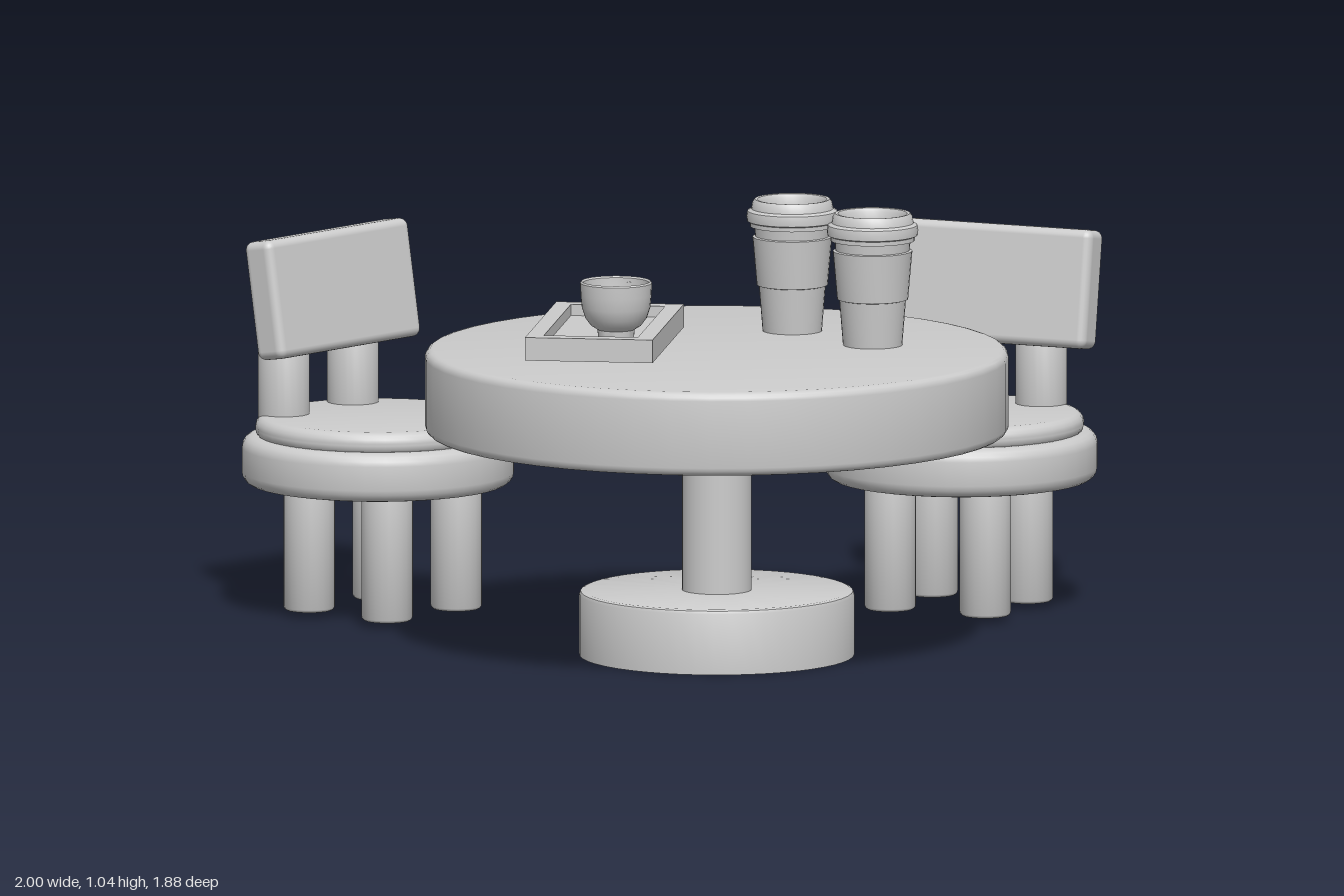
import * as THREE from 'three';
import { toCreasedNormals } from 'three/addons/utils/BufferGeometryUtils.js';
import { RoundedBoxGeometry } from 'three/addons/geometries/RoundedBoxGeometry.js';

const grey = new THREE.MeshStandardMaterial({ color: 0xcccccc });
const greyDouble = new THREE.MeshStandardMaterial({ color: 0xcccccc, side: THREE.DoubleSide });

function add(parent, name, geometry, material = grey) {
  const mesh = new THREE.Mesh(geometry, material);
  mesh.name = name;
  parent.add(mesh);
  return mesh;
}

// Turned part from [radius, height] pairs, listed bottom to top along the outside
function turned(pairs, segments = 40) {
  const points = pairs.map(([r, y]) => new THREE.Vector2(r, y));
  return toCreasedNormals(new THREE.LatheGeometry(points, segments), 0.65);
}

// Disc or post with rounded rims; the underside can be left open
function roundedDisc(r, y0, y1, bevel, { open = false, segments = 40 } = {}) {
  const pairs = open ? [] : [[0, y0]];
  for (let i = 0; i <= 4; i++) {
    const a = (i / 4) * Math.PI / 2;
    pairs.push([r - bevel + bevel * Math.sin(a), y0 + bevel - bevel * Math.cos(a)]);
  }
  for (let i = 0; i <= 4; i++) {
    const a = (i / 4) * Math.PI / 2;
    pairs.push([r - bevel + bevel * Math.cos(a), y1 - bevel + bevel * Math.sin(a)]);
  }
  pairs.push([0, y1]);
  return turned(pairs, segments);
}

function makeTable() {
  const table = new THREE.Group();
  table.name = 'table';
  add(table, 'tableTop', roundedDisc(0.69, 0.53, 0.73, 0.02, { segments: 48 }));
  add(table, 'tablePost', new THREE.CylinderGeometry(0.082, 0.082, 0.47, 32, 1, true), greyDouble)
    .position.y = 0.305;
  // Hollow foot, open underneath
  add(table, 'tableFoot', turned([[0.325, 0], [0.325, 0.145], [0.322, 0.152], [0.315, 0.155], [0, 0.155]], 48), greyDouble);
  return table;
}

function makeChair() {
  const chair = new THREE.Group();
  chair.name = 'chair';
  add(chair, 'seat', roundedDisc(0.322, 0.313, 0.43, 0.03));
  add(chair, 'seatCushion', roundedDisc(0.29, 0.42, 0.475, 0.025));
  const leg = roundedDisc(0.061, 0.013, 0.33, 0.012, { open: true, segments: 24 });
  const support = roundedDisc(0.061, 0.44, 0.695, 0.012, { segments: 24 });
  for (const x of [-0.123, 0.123]) {
    for (const z of [-0.108, 0.138]) add(chair, 'leg', leg, greyDouble).position.set(x, 0, z);
    add(chair, 'backSupport', support).position.set(x, 0, -0.188);
  }
  const back = add(chair, 'backrest', new RoundedBoxGeometry(0.505, 0.282, 0.085, 3, 0.02));
  back.position.set(0.02, 0.758, -0.16);
  back.rotation.x = -0.16;
  return chair;
}

function makeTray() {
  const tray = new THREE.Group();
  tray.name = 'tray';
  const rectangle = (Type, w, h) => new Type([
    new THREE.Vector2(-w, -h), new THREE.Vector2(w, -h), new THREE.Vector2(w, h), new THREE.Vector2(-w, h)]);
  const frame = rectangle(THREE.Shape, 0.152, 0.281);
  frame.holes.push(rectangle(THREE.Path, 0.112, 0.241));
  const rim = new THREE.ExtrudeGeometry(frame, { depth: 0.055, bevelEnabled: false });
  rim.rotateX(-Math.PI / 2);
  add(tray, 'trayRim', rim).position.y = 0.742;
  add(tray, 'trayFloor', new THREE.BoxGeometry(0.226, 0.028, 0.484)).position.y = 0.7565;
  return tray;
}

function makeMug() {
  const mug = new THREE.Group();
  mug.name = 'mug';
  // Outside wall up, over the lip and down the inside
  add(mug, 'mugBowl', turned([
    [0, 0.772], [0.042, 0.772], [0.044, 0.797], [0.06, 0.807], [0.073, 0.825], [0.081, 0.85],
    [0.084, 0.88], [0.085, 0.908], [0.082, 0.912], [0.078, 0.908], [0.077, 0.88],
    [0.073, 0.852], [0.063, 0.825], [0.045, 0.808], [0, 0.803],
  ], 32));
  const path = new THREE.CatmullRomCurve3([
    [0.892, -0.078], [0.898, -0.105], [0.885, -0.124], [0.86, -0.126], [0.836, -0.108], [0.826, -0.068],
  ].map(([y, z]) => new THREE.Vector3(0, y, z)));
  add(mug, 'mugHandle', new THREE.TubeGeometry(path, 24, 0.008, 8));
  return mug;
}

function makeTakeawayCup() {
  const cup = new THREE.Group();
  cup.name = 'takeawayCup';
  add(cup, 'cupBody', turned([[0, 0.728], [0.07, 0.728], [0.079, 0.84], [0.09, 0.985], [0, 0.985]], 32));
  // Slightly wider sleeve round the middle
  add(cup, 'cupSleeve', turned([[0.077, 0.838], [0.084, 0.84], [0.094, 0.955], [0.087, 0.957]], 32));
  add(cup, 'cupLid', turned([
    [0.088, 0.98], [0.1, 0.98], [0.1, 0.99], [0.107, 0.993], [0.108, 1.005], [0.106, 1.017], [0.097, 1.022],
    [0.094, 1.038], [0.089, 1.045], [0.082, 1.044], [0.077, 1.036], [0.075, 1.012], [0, 1.012],
  ], 32));
  // Raised drinking ledge on one side of the lid
  const ledge = new THREE.Shape();
  ledge.absarc(0, 0, 0.076, Math.PI + 0.52, 2 * Math.PI - 0.52, false);
  ledge.closePath();
  const ledgeGeometry = new THREE.ExtrudeGeometry(ledge, { depth: 0.02, bevelEnabled: false, curveSegments: 16 });
  ledgeGeometry.rotateX(-Math.PI / 2);
  add(cup, 'drinkingLedge', ledgeGeometry).position.y = 1.012;
  return cup;
}

export function createModel() {
  const model = new THREE.Group();
  model.name = 'cafeTableSet';
  const place = (part, x, z, turn = 0) => {
    part.position.set(x, 0, z);
    part.rotation.y = turn;
    model.add(part);
  };
  place(makeTable(), 0.307, 0.245);
  place(makeChair(), 0.555, -0.622);
  place(makeChair(), -0.677, 0, 1.263);
  place(makeTray(), 0.065, 0.354, 0.285);
  place(makeMug(), 0.142, 0.46);
  place(makeTakeawayCup(), 0.355, -0.087);
  place(makeTakeawayCup(), 0.618, 0.038);
  return model;
}
